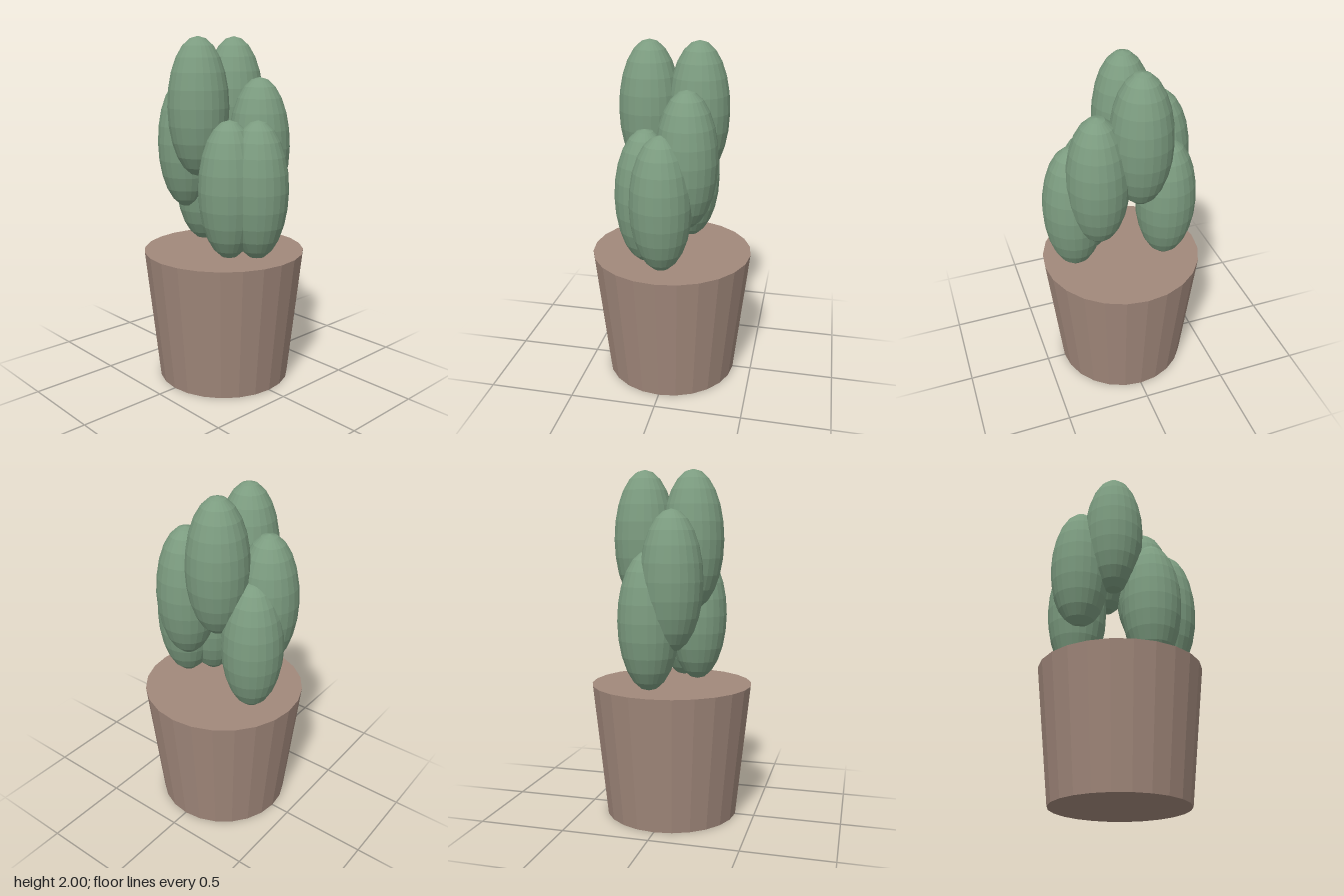
import * as THREE from 'three';

export function createModel() {
  const group = new THREE.Group();
  const clay = new THREE.MeshStandardMaterial({ name: 'clay', color: 0xa1887b, flatShading: true });
  const green = new THREE.MeshStandardMaterial({ name: 'cactusGreen', color: 0x7c9c80, flatShading: true });

  // Tapered pot, closed at the top
  const potHeight = 0.775;
  const pot = new THREE.Mesh(new THREE.CylinderGeometry(0.47, 0.388, potHeight, 24), clay);
  pot.name = 'pot';
  pot.position.y = potHeight / 2;
  group.add(pot);

  // Upright oval cactus pads, stacked in three tiers
  const padGeometry = new THREE.SphereGeometry(0.175, 24, 12);
  padGeometry.scale(1, 0.39 / 0.175, 1);
  const tiers = [
    { name: 'lowerPad', y: 1.165, spots: [[-0.25, -0.065], [0.17, 0.115], [0.28, 0.005]] },
    { name: 'middlePad', y: 1.388, spots: [[-0.25, 0.065], [0.17, -0.115]] },
    { name: 'upperPad', y: 1.61, spots: [[-0.06, 0.14], [-0.067, -0.14]] },
  ];
  for (const { name, y, spots } of tiers) {
    spots.forEach(([x, z], i) => {
      const pad = new THREE.Mesh(padGeometry, green);
      pad.name = name + (i + 1);
      pad.position.set(x, y, z);
      group.add(pad);
    });
  }
  return group;
}
